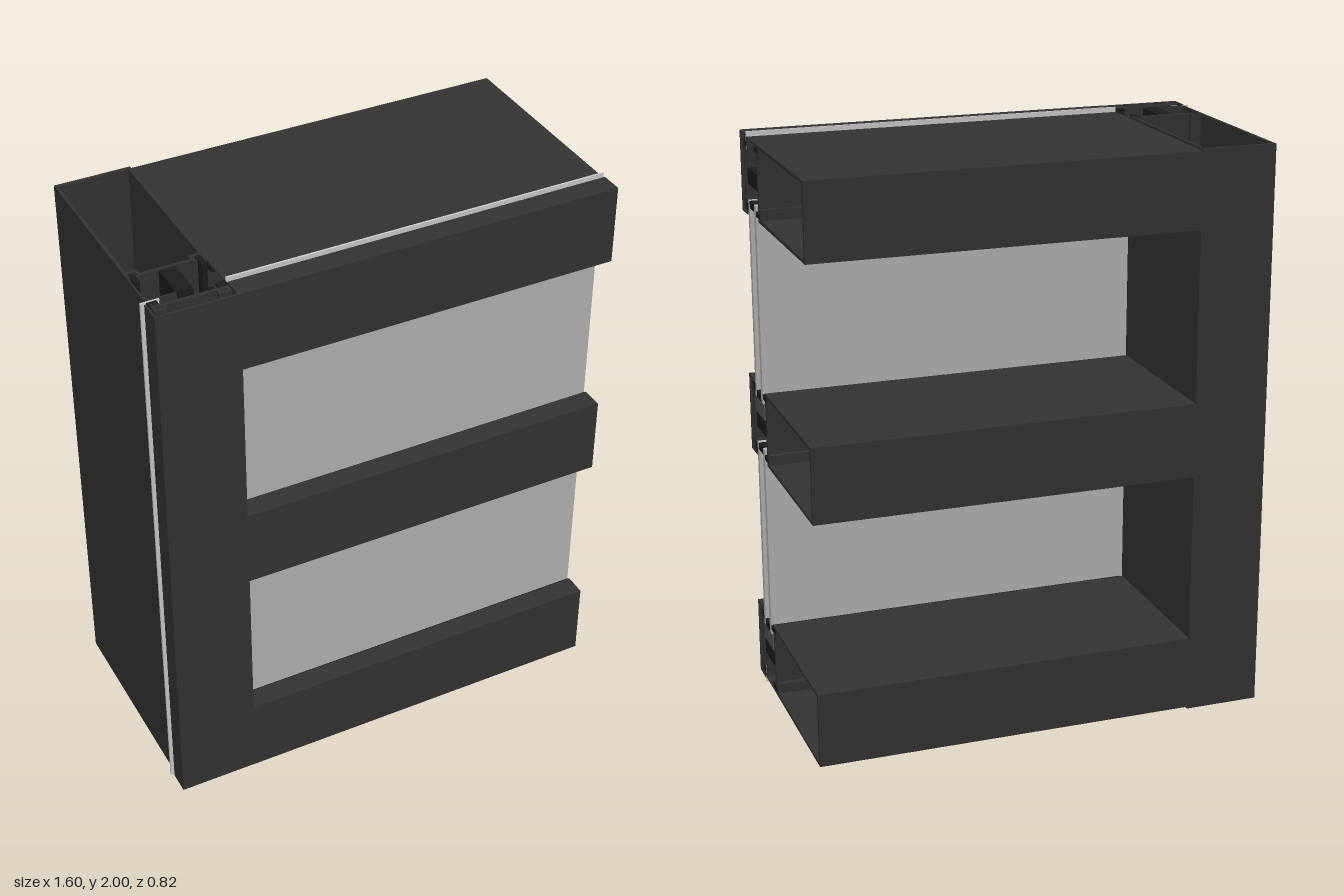
import * as THREE from 'three';

const mat = (color) => new THREE.MeshStandardMaterial({ color });
const metal = mat(0x333333);
const rubber = mat(0x1c1c1c);
const blockGrey = mat(0x555555);
const glassGrey = mat(0xb4b4b4);
const pale = mat(0xcccccc);

// Box from its limits on each axis
function box(name, x0, x1, y0, y1, z0, z1, material) {
  const mesh = new THREE.Mesh(new THREE.BoxGeometry(x1 - x0, y1 - y0, z1 - z0), material);
  mesh.position.set((x0 + x1) / 2, (y0 + y1) / 2, (z0 + z1) / 2);
  mesh.name = name;
  return mesh;
}

// Frame section: [part, u from, u to, z from, z to], u measured across the bar
const centreParts = [
  ['tubeBack', -0.13, 0.13, -0.412, -0.398, metal],
  ['tubeWeb', -0.09, 0.09, 0.17, 0.184, metal],
  ['insulator', -0.027, 0.027, 0.184, 0.318, rubber],
  ['pressurePlate', -0.12, 0.12, 0.35, 0.362, metal],
  ['coverFace', -0.1375, 0.1375, 0.404, 0.412, metal],
];
// Parts that appear on both sides of the bar
const sideParts = [
  ['tubeWall', 0.119, 0.13, -0.398, 0.186, metal],
  ['innerGrooveFloor', 0.083, 0.13, 0.15, 0.161, metal],
  ['innerGrooveWall', 0.083, 0.092, 0.161, 0.187, metal],
  ['innerGrooveLip', 0.092, 0.1, 0.179, 0.187, metal],
  ['innerGasket', 0.101, 0.118, 0.164, 0.217, rubber],
  ['outerGrooveBase', 0.083, 0.124, 0.372, 0.38, metal],
  ['outerGrooveInnerWall', 0.083, 0.091, 0.338, 0.372, metal],
  ['outerGrooveOuterWall', 0.116, 0.124, 0.338, 0.372, metal],
  ['outerGasket', 0.096, 0.128, 0.323, 0.35, rubber],
  ['coverSide', 0.131, 0.1375, 0.335, 0.404, metal],
];
// Closing strip where a bar has no pane on one side
const edgeParts = [
  ['edgeSide', 0.124, 0.13, 0.186, 0.32, metal],
  ['edgeFront', 0.027, 0.13, 0.313, 0.32, metal],
  ['edgeMembrane', 0.085, 0.147, 0.32, 0.327, pale],
];

// Lays the section along y (vertical) or along x; outer is the side without a pane
function frameBar(name, vertical, centre, from, to, outer) {
  const group = new THREE.Group();
  group.name = name;
  const add = ([part, u0, u1, z0, z1, material], side = 1) => {
    const a = centre + Math.min(u0 * side, u1 * side);
    const b = centre + Math.max(u0 * side, u1 * side);
    group.add(vertical
      ? box(part, a, b, from, to, z0, z1, material)
      : box(part, from, to, a, b, z0, z1, material));
  };
  centreParts.forEach((p) => add(p));
  for (const side of [-1, 1]) sideParts.forEach((p) => add(p, side));
  if (outer) edgeParts.forEach((p) => add(p, outer));
  return group;
}

// Double glazing: two panes with a spacer along the three framed edges
function glazing(name, x0, x1, y0, y1) {
  const group = new THREE.Group();
  group.name = name;
  const t = 0.025;
  group.add(
    box('outerPane', x0, x1, y0, y1, 0.302, 0.323, glassGrey),
    box('innerPane', x0, x1, y0, y1, 0.218, 0.242, glassGrey),
    box('sideSpacer', x0, x0 + t, y0, y1, 0.242, 0.302, rubber),
    box('bottomSpacer', x0 + t, x1, y0, y0 + t, 0.242, 0.302, rubber),
    box('topSpacer', x0 + t, x1, y1 - t, y1, 0.242, 0.302, rubber),
  );
  return group;
}

export function createModel() {
  const model = new THREE.Group();
  model.name = 'curtainWallSection';

  const mullionX = -0.654;
  const rows = [0.147, 1, 1.853];
  model.add(frameBar('mullion', true, mullionX, 0.01, 1.99, -1));

  const names = ['bottomTransom', 'middleTransom', 'topTransom'];
  rows.forEach((y, i) => {
    model.add(frameBar(names[i], false, y, mullionX + 0.13, 0.8, i - 1));
  });

  // Panes, each resting on two setting blocks
  for (let i = 0; i < 2; i++) {
    const bottom = rows[i] + 0.083;
    const top = rows[i + 1] - 0.083;
    model.add(glazing(i ? 'upperGlazing' : 'lowerGlazing', mullionX + 0.083, 0.8, bottom, top));
    for (const x of [-0.4, 0.6]) {
      model.add(box('settingBlock', x, x + 0.2, rows[i] + 0.027, bottom, 0.205, 0.322, blockGrey));
    }
  }
  return model;
}
